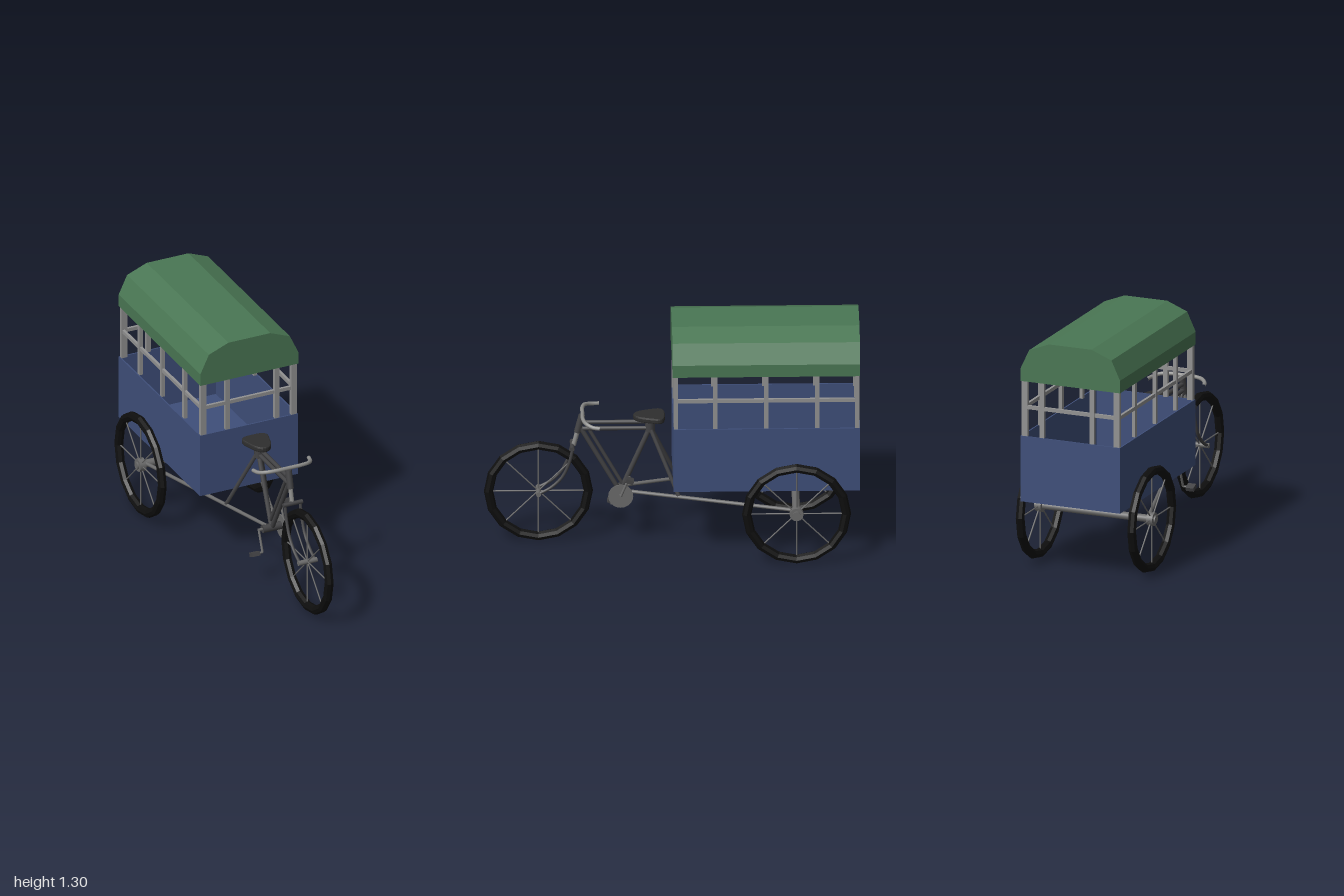
import * as THREE from 'three';

const mat = (name, color, extra = {}) => {
  const m = new THREE.MeshStandardMaterial({ color, ...extra });
  m.name = name;
  return m;
};

export function createModel() {
  const root = new THREE.Group();
  root.name = 'cargoTricycle';
  const blue = mat('bluePanel', 0x3f4f7a, { side: THREE.DoubleSide, flatShading: true });
  const green = mat('greenCanopy', 0x4a7754, { side: THREE.DoubleSide, flatShading: true });
  const grey = mat('greyPost', 0x929292);
  const chrome = mat('chrome', 0x8c8c8a);
  const frame = mat('darkFrame', 0x434345);
  const steel = mat('steel', 0x6a6a6a);
  const rubber = mat('blackRubber', 0x0e0e0e, { flatShading: true });
  const leather = mat('saddleLeather', 0x2e2e2e);

  const V = (x, y, z) => new THREE.Vector3(x, y, z);
  const add = (name, geo, material, parent = root) => {
    const m = new THREE.Mesh(geo, material);
    m.name = name;
    parent.add(m);
    return m;
  };
  const box = (name, material, w, h, d, x, y, z, parent = root) => {
    const m = add(name, new THREE.BoxGeometry(w, h, d), material, parent);
    m.position.set(x, y, z);
    return m;
  };
  // Straight round bar between two points
  const bar = (name, material, a, b, r, parent = root, sides = 8) => {
    const dir = b.clone().sub(a);
    const m = add(name, new THREE.CylinderGeometry(r, r, dir.length(), sides), material, parent);
    m.position.copy(a).add(b).multiplyScalar(0.5);
    m.quaternion.setFromUnitVectors(V(0, 1, 0), dir.normalize());
    return m;
  };
  const tube = (name, material, pts, r) =>
    add(name, new THREE.TubeGeometry(new THREE.CatmullRomCurve3(pts), 24, r, 8), material);

  // Wheels
  const wheelY = 0.293;
  const wheel = (name, x, z, hubR, hubL) => {
    const g = new THREE.Group();
    g.name = name;
    const tyre = add('tyre', new THREE.TorusGeometry(0.266, 0.025, 8, 16), rubber, g);
    tyre.rotation.y = Math.PI / 2;
    for (let i = 0; i < 8; i++) {
      const a = i * Math.PI / 4;
      bar('spoke', steel, V(0, 0, 0), V(0, Math.sin(a) * 0.255, Math.cos(a) * 0.255), 0.004, g, 6);
    }
    bar('hub', steel, V(-hubL, 0, 0), V(hubL, 0, 0), hubR, g, 12);
    g.position.set(x, wheelY, z);
    root.add(g);
  };
  wheel('frontWheel', 0, 0.71, 0.014, 0.055);
  wheel('rearWheelLeft', 0.325, -0.66, 0.037, 0.018);
  wheel('rearWheelRight', -0.325, -0.66, 0.037, 0.018);
  bar('rearAxle', steel, V(-0.352, wheelY, -0.66), V(0.352, wheelY, -0.66), 0.021, root, 12);

  // Open cargo box
  const zf = -0.005, zb = -1, zm = (zf + zb) / 2, len = zf - zb;
  const y0 = 0.41, y1 = 0.775, h = y1 - y0, ym = (y0 + y1) / 2, t = 0.008;
  box('boxFloor', blue, 0.58, t, len, 0, y0 + t / 2, zm);
  for (const s of [-1, 1]) {
    box('boxSide', blue, t, h, len, s * (0.29 - t / 2), ym, zm);
    box('boxEnd', blue, 0.58, h, t, 0, ym, zm + s * (len / 2 - t / 2));
  }

  // Canopy posts and rails
  const yTop = 1.085, postH = yTop - y1, postY = (yTop + y1) / 2, railY = 0.935;
  for (const s of [-1, 1]) {
    for (const z of [-0.018, -0.985]) box('cornerPost', grey, 0.033, postH, 0.023, s * 0.268, postY, z);
    for (const z of [-0.228, -0.5, -0.772]) box('sidePost', grey, 0.02, postH, 0.023, s * 0.273, postY, z);
    box('sideRail', grey, 0.015, 0.02, len - 0.02, s * 0.273, railY, zm);
  }
  for (const z of [-0.018, -0.985]) {
    for (const x of [-0.124, 0.168]) box('endPost', grey, 0.026, postH, 0.02, x, postY, z);
    box('endRail', grey, 0.54, 0.02, 0.015, 0, railY, z);
  }

  // Hollow canopy: faceted shell with closed ends
  const half = [[0.29, 1.08], [0.29, 1.15], [0.24, 1.257], [0.124, 1.303]];
  const profile = [...half, ...half.slice().reverse().map(([x, y]) => [-x, y])];
  const pos = [], idx = [];
  profile.forEach(([x, y]) => pos.push(x, y, 0, x, y, zb));
  for (let i = 0; i < profile.length - 1; i++) {
    const a = i * 2;
    idx.push(a, a + 1, a + 2, a + 2, a + 1, a + 3);
  }
  const shell = new THREE.BufferGeometry();
  shell.setAttribute('position', new THREE.Float32BufferAttribute(pos, 3));
  shell.setIndex(idx);
  const shellFlat = shell.toNonIndexed();
  shellFlat.computeVertexNormals();
  add('canopyShell', shellFlat, green);
  const endShape = new THREE.Shape(profile.map(([x, y]) => new THREE.Vector2(x, y)));
  add('canopyFront', new THREE.ShapeGeometry(endShape), green);
  const back = add('canopyBack', new THREE.ShapeGeometry(endShape), green);
  back.rotation.y = Math.PI;
  back.position.z = zb;

  // Bicycle frame
  const crankY = 0.29, crankZ = 0.272;
  bar('topTube', frame, V(0, 0.692, 0.49), V(0, 0.692, 0.12), 0.012);
  bar('secondTube', frame, V(0, 0.655, 0.5), V(0, 0.655, 0.11), 0.012);
  bar('seatTube', frame, V(0, 0.65, 0.118), V(0, crankY, crankZ), 0.014);
  bar('downTube', frame, V(0, 0.66, 0.485), V(0, crankY, crankZ + 0.005), 0.013);
  bar('innerDownTube', frame, V(0, 0.65, 0.44), V(0, crankY + 0.04, crankZ - 0.01), 0.01);
  bar('seatPost', frame, V(0, 0.64, 0.115), V(0, 0.715, 0.115), 0.026);
  for (const s of [-1, 1]) {
    bar('seatStay', frame, V(s * 0.015, 0.65, 0.11), V(s * 0.12, 0.31, -0.035), 0.011);
    bar('chainStay', steel, V(s * 0.03, 0.305, crankZ), V(s * 0.305, 0.303, -0.66), 0.01);
  }

  // Saddle: rounded at the back, narrow nose at the front
  const saddle = new THREE.Shape();
  saddle.moveTo(0, -0.205);
  saddle.bezierCurveTo(0.05, -0.205, 0.06, -0.13, 0.073, -0.09);
  saddle.bezierCurveTo(0.085, -0.04, 0.05, -0.035, 0, -0.035);
  saddle.bezierCurveTo(-0.05, -0.035, -0.085, -0.04, -0.073, -0.09);
  saddle.bezierCurveTo(-0.06, -0.13, -0.05, -0.205, 0, -0.205);
  const saddleGeo = new THREE.ExtrudeGeometry(saddle, {
    depth: 0.014, bevelEnabled: true, bevelSize: 0.006, bevelOffset: -0.006,
    bevelThickness: 0.008, bevelSegments: 2, curveSegments: 8,
  });
  saddleGeo.rotateX(-Math.PI / 2);
  add('saddle', saddleGeo, leather).position.y = 0.716;

  // Steering head, fork and handlebar
  bar('headTube', frame, V(0, 0.735, 0.478), V(0, 0.635, 0.503), 0.018, root, 12);
  bar('steerer', chrome, V(0, 0.645, 0.5), V(0, 0.56, 0.522), 0.013);
  bar('forkCrown', frame, V(-0.057, 0.558, 0.53), V(0.057, 0.558, 0.53), 0.012);
  for (const s of [-1, 1]) {
    tube('forkBlade', frame, [V(s * 0.045, 0.565, 0.525), V(s * 0.045, 0.47, 0.548),
      V(s * 0.045, 0.39, 0.585), V(s * 0.045, 0.33, 0.645), V(s * 0.045, wheelY, 0.71)], 0.009);
  }
  tube('handlebar', chrome, [V(-0.165, 0.727, 0.385), V(-0.155, 0.73, 0.425), V(-0.125, 0.74, 0.46),
    V(-0.07, 0.745, 0.475), V(0, 0.745, 0.475), V(0.07, 0.745, 0.475), V(0.125, 0.74, 0.46),
    V(0.155, 0.73, 0.425), V(0.165, 0.727, 0.385)], 0.011);

  // Cranks, chainring and pedals
  bar('bottomBracket', frame, V(-0.055, crankY, crankZ), V(0.055, crankY, crankZ), 0.022, root, 12);
  bar('chainring', steel, V(0.054, crankY - 0.008, crankZ), V(0.06, crankY - 0.008, crankZ), 0.067, root, 20);
  for (const s of [-1, 1]) {
    const py = crankY + s * 0.113, pz = crankZ - s * 0.046;
    bar('crankAxle', steel, V(s * 0.05, crankY, crankZ), V(s * 0.08, crankY, crankZ), 0.008);
    bar('crankArm', steel, V(s * 0.076, crankY, crankZ), V(s * 0.076, py, pz), 0.007);
    bar('pedalSpindle', steel, V(s * 0.076, py, pz), V(s * 0.11, py, pz), 0.006);
    const p = box('pedal', frame, 0.046, 0.022, 0.042, s * 0.122, py, pz);
    p.rotation.x = -0.4;
  }
  return root;
}
